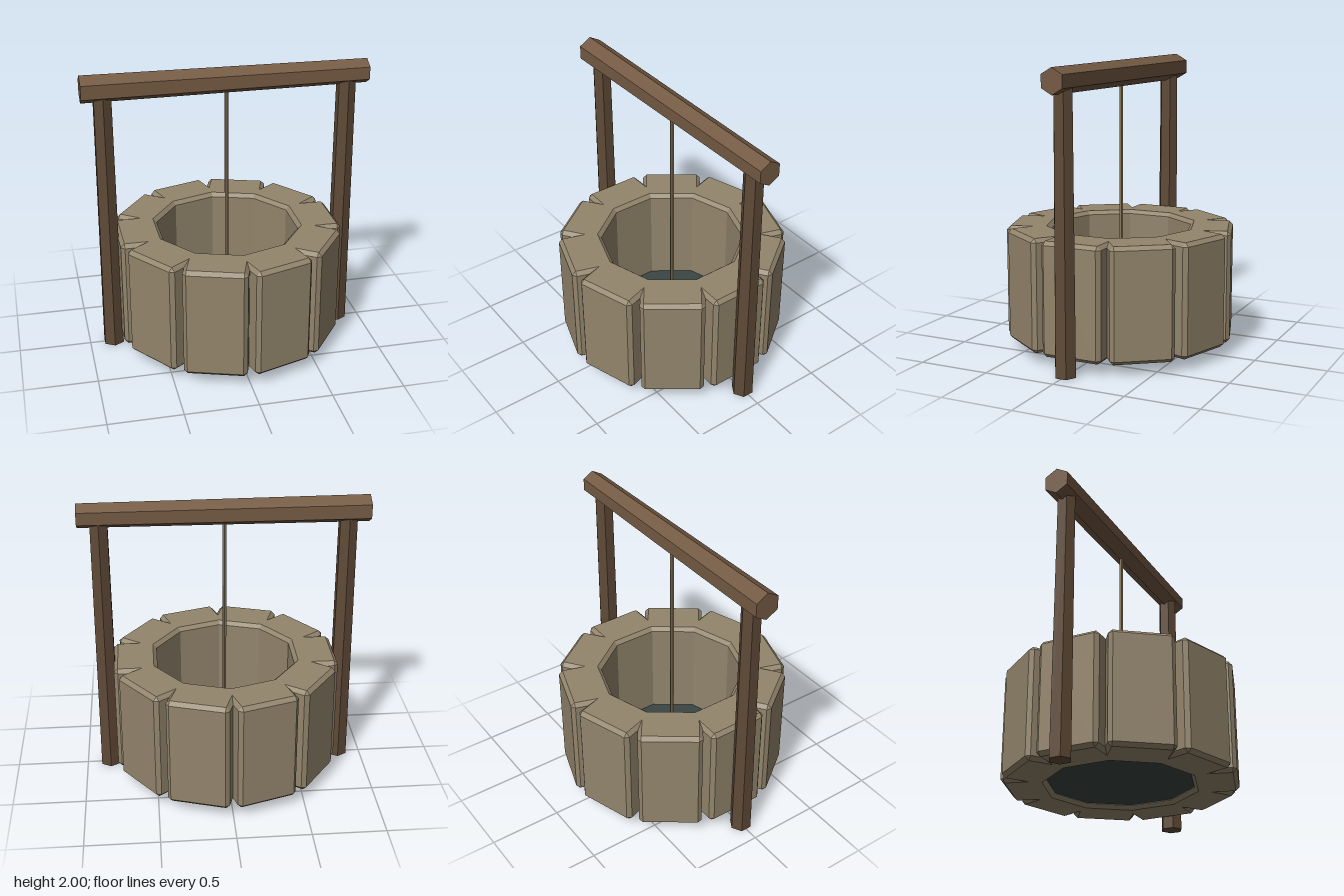
import * as THREE from 'three';
import { ConvexGeometry } from 'three/addons/geometries/ConvexGeometry.js';

const material = (color) => new THREE.MeshStandardMaterial({ color, flatShading: true });

function addMesh(parent, name, geometry, mat, x = 0, y = 0, z = 0) {
  const mesh = new THREE.Mesh(geometry, mat);
  mesh.name = name;
  mesh.position.set(x, y, z);
  parent.add(mesh);
  return mesh;
}

// Box with every edge and corner cut off by c
function chamferedBox(width, height, depth, c) {
  const half = [width / 2, height / 2, depth / 2];
  const points = [];
  for (const sx of [-1, 1]) for (const sy of [-1, 1]) for (const sz of [-1, 1]) {
    for (let face = 0; face < 3; face++) {
      const [x, y, z] = half.map((h, axis) => (axis === face ? h : h - c));
      points.push(new THREE.Vector3(sx * x, sy * y, sz * z));
    }
  }
  return new ConvexGeometry(points);
}

export function createModel() {
  const model = new THREE.Group();
  model.name = 'well';
  const stone = material(0x93856c);
  const postWood = material(0x5f4a37);
  const beamWood = material(0x745a43);
  const ropeFibre = material(0x857456);
  const water = material(0x3a4543);

  // Ring of ten overlapping stone blocks
  const ring = new THREE.Group();
  ring.name = 'stoneRing';
  model.add(ring);
  const blockGeometry = chamferedBox(0.3, 0.78, 0.43, 0.026);
  const blocks = 10;
  for (let i = 0; i < blocks; i++) {
    const a = (i / blocks) * Math.PI * 2;
    const block = addMesh(ring, 'stoneBlock', blockGeometry, stone,
      Math.cos(a) * 0.624, 0.47, -Math.sin(a) * 0.624);
    block.rotation.y = a;
  }

  // Water closing the bottom of the shaft
  addMesh(model, 'water', new THREE.CylinderGeometry(0.52, 0.52, 0.03, 20), water, 0, 0.125, 0);

  // Tapered hexagonal posts
  const postGeometry = new THREE.CylinderGeometry(0.067, 0.076, 1.88, 6);
  for (const side of [-1, 1]) {
    addMesh(model, side < 0 ? 'rightPost' : 'leftPost', postGeometry, postWood, side * 0.832, 0.94, 0);
  }

  // Tapered hexagonal crossbeam with a ridge on top
  const beamGeometry = new THREE.CylinderGeometry(0.095, 0.085, 1.95, 6);
  beamGeometry.rotateY(Math.PI / 2).rotateZ(Math.PI / 2);
  addMesh(model, 'crossbeam', beamGeometry, beamWood, 0, 1.905, 0);

  // Rope hanging into the shaft
  addMesh(model, 'rope', new THREE.CylinderGeometry(0.014, 0.014, 1.45, 6), ropeFibre, 0, 1.145, 0);

  return model;
}
